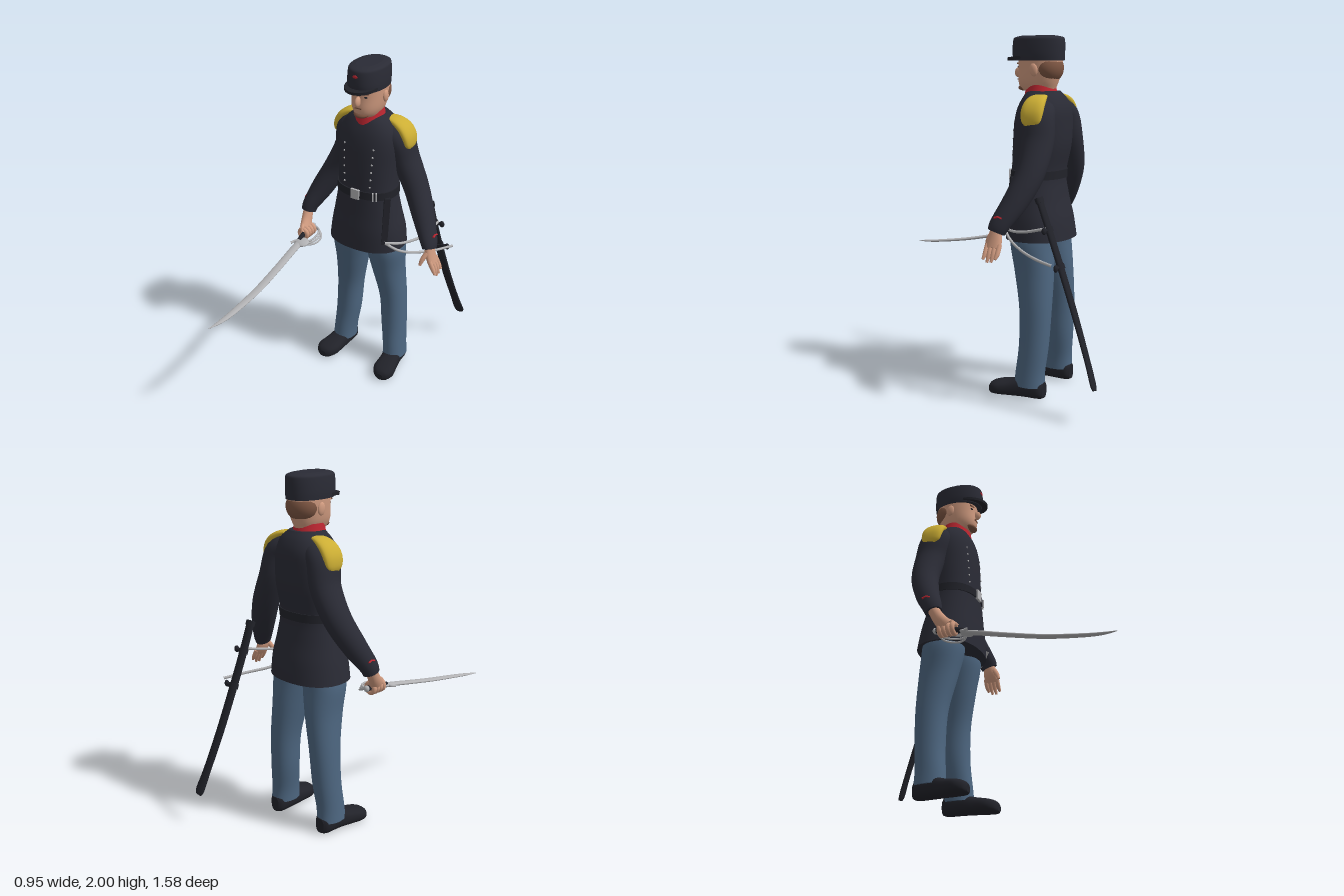
import * as THREE from 'three';

const COLORS = {
  coat: 0x2a2b35, trousers: 0x4d6680, black: 0x212229, red: 0xbb2630, gold: 0xccae34,
  silver: 0xb2b2b4, skin: 0xcf9a7f, hair: 0x7c5542,
};
const CX = -0.043; // centre line of the body

const spline = (a, b, c, d, t) =>
  0.5 * (2 * b + (c - a) * t + (2 * a - 5 * b + 4 * c - d) * t * t + (3 * b - a - 3 * c + d) * t * t * t);

// Smooth skin over cross-sections [x, y, z, radiusA, radiusB]; B lies towards ref, A across it.
function sweep(rows, { ref = [0, 0, 1], axis = null, pow = 2, seg = 24, sub = 5 } = {}) {
  const S = [];
  const n = rows.length - 1;
  for (let i = 0; i <= n * sub; i++) {
    const k = Math.min(Math.floor(i / sub), n - 1), t = i / sub - k;
    const r = (j) => rows[Math.max(0, Math.min(n, j))];
    S.push(rows[0].map((_, c) => spline(r(k - 1)[c], r(k)[c], r(k + 1)[c], r(k + 2)[c], t)));
  }
  const pos = [], idx = [], R = new THREE.Vector3(...ref);
  const at = (i) => new THREE.Vector3(...S[Math.max(0, Math.min(S.length - 1, i))].slice(0, 3));
  const ring = (i) => {
    const t = axis ? new THREE.Vector3(...axis) : at(i + 1).sub(at(i - 1)).normalize();
    const u = t.clone().cross(R).normalize(), v = u.clone().cross(t), start = pos.length / 3;
    for (let j = 0; j < seg; j++) {
      const a = (j / seg) * Math.PI * 2, c = Math.cos(a), s = Math.sin(a);
      const p = at(i).addScaledVector(u, S[i][3] * Math.sign(c) * Math.abs(c) ** (2 / pow))
        .addScaledVector(v, S[i][4] * Math.sign(s) * Math.abs(s) ** (2 / pow));
      pos.push(p.x, p.y, p.z);
    }
    return start;
  };
  S.forEach((_, i) => {
    const b = ring(i);
    if (i === 0) return;
    for (let j = 0; j < seg; j++) {
      const k = (j + 1) % seg, a = b - seg;
      idx.push(a + j, b + j, a + k, a + k, b + j, b + k);
    }
  });
  for (const end of [0, S.length - 1]) {
    const b = ring(end), c = pos.length / 3;
    pos.push(...S[end].slice(0, 3));
    for (let j = 0; j < seg; j++) {
      const k = (j + 1) % seg;
      if (end) idx.push(c, b + k, b + j);
      else idx.push(c, b + j, b + k);
    }
  }
  const g = new THREE.BufferGeometry();
  g.setAttribute('position', new THREE.Float32BufferAttribute(pos, 3));
  g.setIndex(idx);
  g.computeVertexNormals();
  return g;
}

// Coat cross-sections: [x, y, z, half width, half depth]
const COAT_POW = 2.3;
const COAT = [
  [CX - 0.005, 0.885, -0.277, 0.238, 0.18], [CX, 1.0, -0.272, 0.225, 0.17], [CX, 1.12, -0.265, 0.2, 0.15],
  [CX, 1.245, -0.262, 0.18, 0.138], [CX, 1.4, -0.28, 0.185, 0.15], [CX, 1.52, -0.287, 0.19, 0.148],
  [CX, 1.6, -0.292, 0.178, 0.138], [CX, 1.66, -0.292, 0.14, 0.115], [CX, 1.7, -0.288, 0.09, 0.088],
];
// Depth of the coat's front surface at a point
function coatFront(x, y) {
  const i = Math.max(1, COAT.findIndex((r) => r[1] >= y)), a = COAT[i - 1], b = COAT[i];
  const s = a.map((v, c) => THREE.MathUtils.lerp(v, b[c], (y - a[1]) / (b[1] - a[1])));
  return s[2] + s[4] * (1 - Math.abs((x - s[0]) / s[3]) ** COAT_POW) ** (1 / COAT_POW);
}

export function createModel() {
  const model = new THREE.Group();
  const mats = {};
  for (const [name, color] of Object.entries(COLORS)) {
    mats[name] = new THREE.MeshStandardMaterial({ color });
    mats[name].name = name;
  }
  const add = (name, geo, mat, p = [0, 0, 0], rot = [0, 0, 0], scale = [1, 1, 1]) => {
    const m = new THREE.Mesh(geo, mats[mat]);
    m.name = name;
    m.position.set(...p);
    m.rotation.set(...rot);
    m.scale.set(...scale);
    model.add(m);
    return m;
  };
  const ball = (name, mat, p, r, rot) => add(name, new THREE.SphereGeometry(1, 24, 16), mat, p, rot, r);
  const box = (name, mat, p, s, rot) => add(name, new THREE.BoxGeometry(...s), mat, p, rot);
  const tube = (name, mat, pts, r) => add(name, new THREE.TubeGeometry(
    new THREE.CatmullRomCurve3(pts.map((p) => new THREE.Vector3(...p))), 24, r, 8), mat);
  const up = { axis: [0, 1, 0], seg: 40 };

  // Coat, belt and buttons
  add('coat', sweep(COAT, { ...up, pow: COAT_POW }), 'coat');
  add('belt', sweep([[CX, 1.222, -0.262, 0.187, 0.146], [CX, 1.268, -0.263, 0.186, 0.145]],
    { ...up, pow: COAT_POW, sub: 1 }), 'black');
  box('buckle', 'silver', [CX, 1.245, -0.116], [0.055, 0.06, 0.014]);
  for (const x of [0.065, 0.082]) box('beltClip', 'silver', [x, 1.245, coatFront(x, 1.245) + 0.01], [0.008, 0.05, 0.014], [0, 0.6, 0]);
  for (const s of [-1, 1]) for (let i = 0; i < 6; i++) {
    const x = CX + s * (0.085 + i * 0.002), y = 1.3 + i * 0.046;
    ball('button', 'silver', [x, y, coatFront(x, y)], [0.006, 0.006, 0.005]);
  }
  box('frog', 'black', [0.13, 1.09, coatFront(0.13, 1.09) - 0.002], [0.036, 0.29, 0.03], [-0.1, 0.7, 0]);

  // Collar
  add('collar', sweep([[CX, 1.64, -0.272, 0.105, 0.1], [CX, 1.69, -0.27, 0.088, 0.09], [CX, 1.737, -0.268, 0.078, 0.08]], up), 'red');

  // Head
  const hx = -0.04;
  add('head', sweep([
    [hx, 1.69, -0.275, 0.055, 0.07], [hx, 1.715, -0.255, 0.068, 0.1], [hx, 1.755, -0.255, 0.084, 0.115],
    [hx, 1.82, -0.265, 0.094, 0.123], [hx, 1.88, -0.265, 0.097, 0.125]], { ...up, pow: 2.2 }), 'skin');
  ball('nose', 'skin', [hx, 1.803, -0.135], [0.015, 0.03, 0.026], [-0.35, 0, 0]);
  ball('hair', 'hair', [hx, 1.825, -0.315], [0.094, 0.085, 0.082]);
  ball('chinBeard', 'hair', [hx, 1.722, -0.178], [0.048, 0.02, 0.042], [0.2, 0, 0]);
  box('mouth', 'hair', [hx, 1.764, -0.139], [0.042, 0.006, 0.006]);
  for (const s of [-1, 1]) {
    ball('ear', 'skin', [hx + s * 0.096, 1.815, -0.27], [0.012, 0.035, 0.024], [0.15, 0, 0]);
    box('brow', 'hair', [hx + s * 0.04, 1.851, -0.15], [0.036, 0.008, 0.008], [0, s * 0.25, 0]);
    ball('eye', 'black', [hx + s * 0.038, 1.831, -0.153], [0.012, 0.006, 0.006]);
  }

  // Cap
  add('cap', sweep([
    [hx, 1.865, -0.256, 0.1, 0.146], [hx, 1.905, -0.254, 0.103, 0.15], [hx, 1.965, -0.255, 0.1, 0.149],
    [hx, 1.99, -0.256, 0.093, 0.14], [hx, 2.0, -0.256, 0.06, 0.1]], { ...up, pow: 2.2 }), 'coat');
  add('capPeak', new THREE.CylinderGeometry(1, 1, 1, 32), 'black', [hx, 1.882, -0.18], [0.08, 0, 0], [0.094, 0.016, 0.11]);
  ball('capBadge', 'red', [hx, 1.955, -0.106], [0.016, 0.009, 0.004]);

  // Sleeves, cuff marks and epaulettes
  const sleeves = {
    right: [[-0.12, 1.61, -0.31, 0.06, 0.08], [-0.2, 1.565, -0.325, 0.078, 0.098], [-0.235, 1.43, -0.345, 0.075, 0.092],
      [-0.31, 1.27, -0.335, 0.073, 0.08], [-0.385, 1.12, -0.28, 0.066, 0.068], [-0.432, 1.02, -0.228, 0.05, 0.056],
      [-0.441, 0.975, -0.212, 0.043, 0.048]],
    left: [[0.03, 1.61, -0.31, 0.06, 0.08], [0.113, 1.565, -0.325, 0.078, 0.098], [0.155, 1.43, -0.345, 0.075, 0.092],
      [0.232, 1.27, -0.34, 0.072, 0.08], [0.31, 1.13, -0.295, 0.064, 0.07], [0.38, 1.015, -0.24, 0.047, 0.058],
      [0.396, 0.972, -0.225, 0.038, 0.05]],
  };
  for (const [side, rows] of Object.entries(sleeves)) {
    add(side + 'Sleeve', sweep(rows), 'coat');
    const s = side === 'left' ? 1 : -1, x = s > 0 ? 0.417 : -0.473;
    for (const k of [-1, 1]) box(side + 'CuffMark', 'red', [x, 1.055, -0.245 + k * 0.011], [0.01, 0.008, 0.024], [k * 0.35, 0, s * 0.5]);
    add(side + 'Epaulette', sweep([
      [CX + s * 0.105, 1.675, -0.318, 0.01, 0.04], [CX + s * 0.15, 1.661, -0.32, 0.02, 0.053], [CX + s * 0.195, 1.632, -0.322, 0.026, 0.062],
      [CX + s * 0.224, 1.59, -0.323, 0.026, 0.064], [CX + s * 0.236, 1.545, -0.325, 0.02, 0.056], [CX + s * 0.238, 1.518, -0.326, 0.01, 0.035]],
    { pow: 2.4 }), 'gold');
  }

  // Trousers and boots, mirrored about the centre line
  const legs = [
    [0.11, 0.93, -0.28, 0.11, 0.12], [0.118, 0.85, -0.28, 0.115, 0.12], [0.13, 0.7, -0.3, 0.096, 0.11],
    [0.155, 0.5, -0.32, 0.08, 0.091], [0.168, 0.3, -0.318, 0.076, 0.084], [0.183, 0.15, -0.305, 0.069, 0.084],
    [0.188, 0.07, -0.303, 0.07, 0.089]];
  const boots = [
    [0.185, 0.05, -0.392, 0.03, 0.043], [0.186, 0.056, -0.365, 0.052, 0.056], [0.19, 0.058, -0.28, 0.058, 0.058],
    [0.2, 0.047, -0.2, 0.064, 0.047], [0.21, 0.041, -0.13, 0.07, 0.041], [0.214, 0.034, -0.087, 0.05, 0.034],
    [0.215, 0.028, -0.07, 0.022, 0.02]];
  for (const s of [-1, 1]) {
    const side = s > 0 ? 'left' : 'right';
    const place = (rows) => rows.map(([x, ...rest]) => [CX + s * x, ...rest]);
    add(side + 'TrouserLeg', sweep(place(legs), { axis: [0, -1, 0], seg: 32, pow: 2.15 }), 'trousers');
    add(side + 'Boot', sweep(place(boots), { axis: [0, 0, 1], ref: [0, 1, 0], pow: 2.5 }), 'black');
  }

  // Open left hand
  add('leftPalm', sweep([[0.395, 0.99, -0.225, 0.024, 0.03], [0.405, 0.94, -0.222, 0.026, 0.042], [0.428, 0.89, -0.222, 0.018, 0.045]]), 'skin');
  for (let i = 0; i < 4; i++) {
    const z = -0.258 + i * 0.024, drop = [0.84, 0.822, 0.82, 0.835][i];
    add('leftFinger', sweep([[0.42, 0.91, z, 0.014, 0.013], [0.445, 0.865, z, 0.013, 0.013], [0.463, drop, z + 0.005, 0.007, 0.007]], { seg: 10 }), 'skin');
  }
  add('leftThumb', sweep([[0.398, 0.955, -0.195, 0.016, 0.016], [0.383, 0.92, -0.17, 0.014, 0.014], [0.375, 0.885, -0.155, 0.008, 0.008]], { seg: 10 }), 'skin');

  // Right fist around the grip
  add('rightWrist', sweep([[-0.442, 0.985, -0.212, 0.03, 0.032], [-0.435, 0.93, -0.18, 0.03, 0.036], [-0.42, 0.885, -0.145, 0.028, 0.045]]), 'skin');
  for (let i = 0; i < 4; i++) add('rightFinger', new THREE.TorusGeometry(0.027, 0.014, 10, 20), 'skin', [-0.408, 0.87, -0.178 + i * 0.025]);
  tube('rightThumb', 'skin', [[-0.435, 0.92, -0.15], [-0.42, 0.905, -0.11], [-0.4, 0.885, -0.085]], 0.013);

  // Sabre
  tube('sabreGrip', 'black', [[-0.41, 0.873, -0.21], [-0.408, 0.868, -0.12], [-0.398, 0.85, -0.04]], 0.016);
  ball('sabrePommel', 'silver', [-0.41, 0.873, -0.212], [0.018, 0.018, 0.014]);
  for (let i = 0; i < 3; i++) tube('sabreGuardBar', 'silver', [
    [-0.405, 0.873, -0.212], [-0.355 + i * 0.008, 0.872 - i * 0.014, -0.19], [-0.328 + i * 0.006, 0.866 - i * 0.018, -0.125],
    [-0.345, 0.852 - i * 0.012, -0.065], [-0.39, 0.847, -0.035]], 0.006);
  ball('sabreShell', 'silver', [-0.378, 0.846, -0.045], [0.045, 0.014, 0.04], [0.2, 0, 0]);
  tube('sabreQuillon', 'silver', [[-0.39, 0.848, -0.04], [-0.425, 0.845, -0.03], [-0.436, 0.84, -0.005]], 0.008);
  add('sabreBlade', sweep([
    [-0.392, 0.845, -0.05, 0.024, 0.012], [-0.388, 0.828, 0.04, 0.025, 0.011], [-0.38, 0.793, 0.2, 0.025, 0.01],
    [-0.375, 0.752, 0.4, 0.025, 0.009], [-0.383, 0.721, 0.6, 0.021, 0.008], [-0.396, 0.707, 0.71, 0.015, 0.006],
    [-0.415, 0.7, 0.79, 0.002, 0.002]], { ref: [0, 1, 0], seg: 16 }), 'silver');

  // Scabbard with its bands and ring studs
  add('scabbard', sweep([
    [0.28, 1.155, -0.415, 0.028, 0.015], [0.282, 0.99, -0.477, 0.028, 0.015], [0.29, 0.8, -0.55, 0.028, 0.015],
    [0.308, 0.55, -0.645, 0.028, 0.014], [0.335, 0.33, -0.728, 0.028, 0.012], [0.354, 0.215, -0.77, 0.032, 0.011],
    [0.361, 0.185, -0.782, 0.022, 0.008]]), 'black');
  for (const [x, y, z] of [[0.281, 1.14, -0.42], [0.282, 0.99, -0.477], [0.29, 0.8, -0.55]]) {
    add('scabbardBand', sweep([[x, y + 0.013, z + 0.005, 0.033, 0.02], [x, y - 0.013, z - 0.005, 0.033, 0.02]], { sub: 1 }), 'black');
    if (y > 1.1) continue;
    tube('scabbardStud', 'black', [[x + 0.02, y, z], [x + 0.06, y, z]], 0.009);
    ball('scabbardRing', 'black', [x + 0.058, y, z], [0.016, 0.02, 0.012]);
  }

  // Sling straps
  tube('upperSling', 'silver', [[0.15, 0.97, -0.135], [0.22, 0.955, -0.21], [0.29, 0.965, -0.33], [0.315, 1.0, -0.48]], 0.008);
  tube('lowerSling', 'silver', [[0.15, 0.97, -0.135], [0.2, 0.905, -0.2], [0.25, 0.86, -0.29], [0.33, 0.835, -0.42], [0.385, 0.82, -0.545]], 0.008);
  return model;
}
